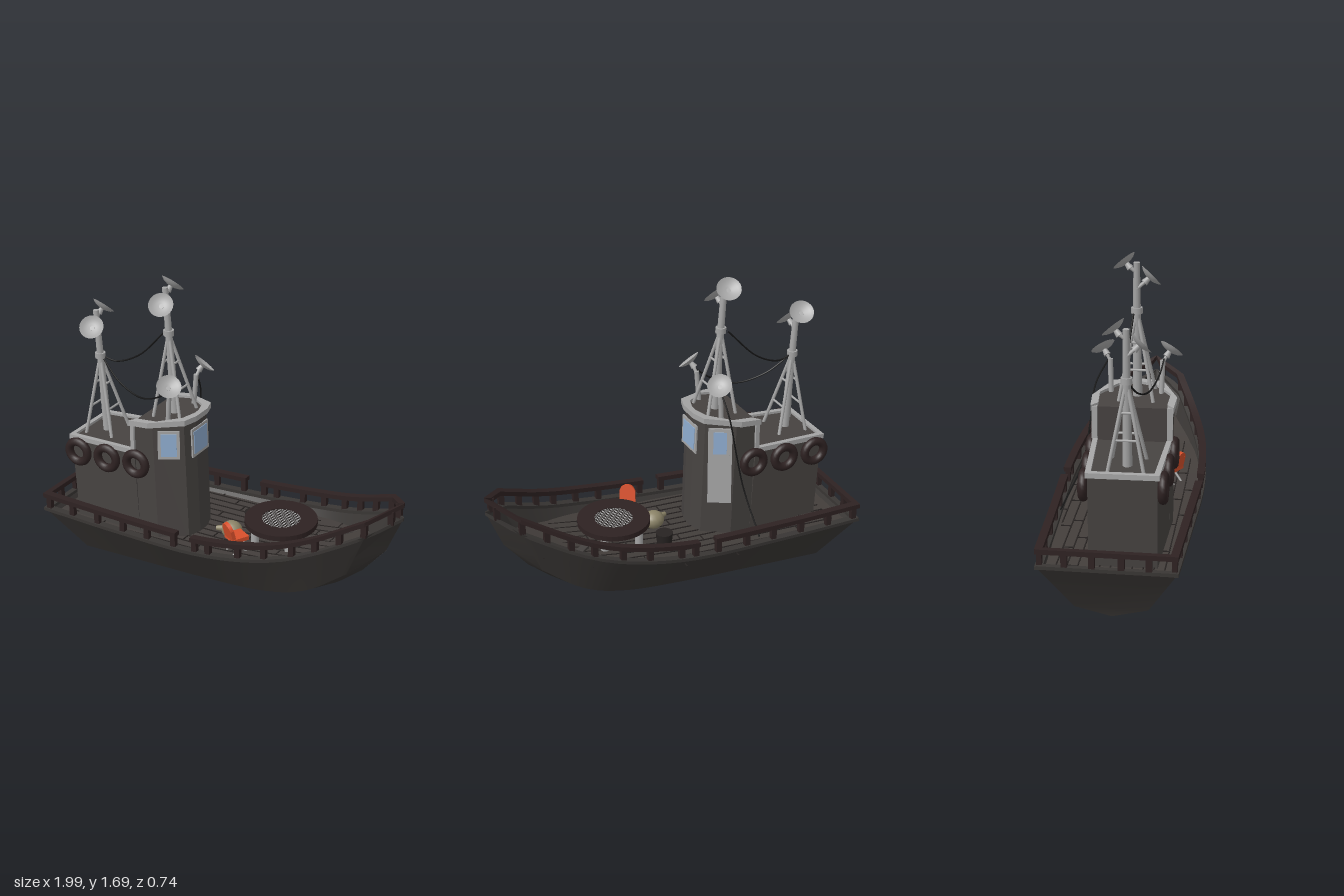
import * as THREE from 'three';
import { toCreasedNormals } from 'three/addons/utils/BufferGeometryUtils.js';

const mat = (name, color, side = THREE.FrontSide) => {
  const m = new THREE.MeshStandardMaterial({ color, side });
  m.name = name;
  return m;
};
const V = (x, y, z) => new THREE.Vector3(x, y, z);

export function createModel() {
  const M = {
    hull: mat('hull charcoal', 0x393634, THREE.DoubleSide),
    cabin: mat('cabin grey', 0x474341),
    deck: mat('deck brown grey', 0x433e3b),
    seam: mat('seam dark', 0x272322),
    rail: mat('rail maroon', 0x2e2222),
    light: mat('light grey', 0xa6a6a6, THREE.DoubleSide),
    glass: mat('window blue', 0x8fadd0),
    orange: mat('orange', 0xd9502b),
    canvas: mat('canvas beige', 0x8c8468),
    black: mat('cable black', 0x161616),
  };
  const model = new THREE.Group();
  const group = (name, parent = model) => {
    const g = new THREE.Group();
    g.name = name;
    parent.add(g);
    return g;
  };
  const add = (parent, name, geo, material, x = 0, y = 0, z = 0) => {
    const m = new THREE.Mesh(geo, material);
    m.name = name;
    m.position.set(x, y, z);
    parent.add(m);
    return m;
  };
  const box = (p, name, m, w, h, d, x, y, z) => add(p, name, new THREE.BoxGeometry(w, h, d), m, x, y, z);
  const rod = (p, name, m, a, b, r, r2 = r) => {
    const d = b.clone().sub(a);
    const o = add(p, name, new THREE.CylinderGeometry(r2, r, d.length(), 10), m);
    o.position.copy(a).addScaledVector(d, 0.5);
    o.quaternion.setFromUnitVectors(V(0, 1, 0), d.normalize());
    return o;
  };
  // Surface through a series of cross-sections
  const loft = (rows) => {
    const n = rows[0].length, idx = [];
    for (let i = 0; i < rows.length - 1; i++) for (let j = 0; j < n - 1; j++) {
      const a = i * n + j, c = a + n;
      idx.push(a, a + 1, c, a + 1, c + 1, c);
    }
    const g = new THREE.BufferGeometry();
    g.setAttribute('position', new THREE.Float32BufferAttribute(rows.flat().flatMap((p) => [p.x, p.y, p.z]), 3));
    g.setIndex(idx);
    return toCreasedNormals(g, 0.45);
  };
  const lerpTable = (t, x) => {
    let i = 1;
    while (i < t.length - 1 && t[i][0] < x) i++;
    const k = THREE.MathUtils.clamp((x - t[i - 1][0]) / (t[i][0] - t[i - 1][0]), 0, 1);
    return t[i].map((v, q) => t[i - 1][q] + (v - t[i - 1][q]) * k);
  };

  // Hull lines (x, y, half width) from stern to stem
  const boat = group('boat');
  boat.rotation.y = -0.02;
  boat.position.z = 0.001;
  const smooth = (pts, tip) => [...new THREE.CatmullRomCurve3(pts.map((p) => V(...p)), false, 'catmullrom').getPoints(30), V(...tip)];
  const sheer = smooth([[-0.99, 0.32, 0.335], [-0.5, 0.335, 0.352], [0, 0.365, 0.367], [0.35, 0.42, 0.34], [0.6, 0.495, 0.275], [0.87, 0.625, 0.165]], [0.995, 0.69, 0]);
  const chine = smooth([[-0.83, 0.05, 0.18], [-0.45, 0.087, 0.2], [0, 0.123, 0.21], [0.33, 0.155, 0.2], [0.55, 0.215, 0.17], [0.75, 0.345, 0.11]], [0.91, 0.48, 0]);
  const keel = smooth([[-0.815, 0, 0], [-0.45, 0.034, 0], [0, 0.076, 0], [0.355, 0.11, 0], [0.6, 0.18, 0], [0.785, 0.325, 0]], [0.915, 0.485, 0]);
  const deckY = (x) => lerpTable([[-0.95, 0.27], [0, 0.315], [0.3, 0.35], [0.6, 0.4], [0.9, 0.48]], x)[1];
  const waist = sheer.map((s, i) => s.clone().lerp(chine[i], THREE.MathUtils.clamp((s.y - deckY(s.x)) / (s.y - chine[i].y), 0, 0.98)));
  const flip = (p) => V(p.x, p.y, -p.z);
  const sections = sheer.map((s, i) => {
    const half = [s, waist[i], chine[i]];
    return [...half, keel[i], ...half.map(flip).reverse()];
  });
  add(boat, 'hullShell', loft(sections), M.hull);
  const t = sections[0];
  add(boat, 'transom', loft([[t[6], t[5], t[4], t[3]], [t[0], t[1], t[2], t[3]]]), M.hull);
  add(boat, 'deck', loft(waist.map((p) => [flip(p), p])), M.deck);

  // Gunwale and handrails follow the sheer line
  const sheerTable = sheer.map((p) => [p.x, p.y, p.z]);
  const strip = (name, m, x0, x1, lift, h, wid, s) => {
    const rows = [];
    for (let i = 0; i <= 24; i++) {
      const [x, y, w] = lerpTable(sheerTable, x0 + (x1 - x0) * i / 24);
      const o = w + 0.004, n = Math.max(0, w - wid), b = y + lift;
      const r = [[o, b + h], [o, b], [n, b], [n, b + h], [o, b + h]].map(([z, yy]) => V(x, yy, s * z));
      rows.push(s > 0 ? r : r.reverse());
    }
    const cap = (r) => r.map(() => r[0].clone().lerp(r[2], 0.5));
    add(boat, name, loft([cap(rows[0]), ...rows, cap(rows[24])]), m);
  };
  for (const s of [1, -1]) {
    strip('gunwale', M.hull, -0.99, 0.995, -0.015, 0.018, 0.035, s);
    strip('aftRail', M.rail, -0.99, -0.11, 0.065, 0.025, 0.035, s);
    strip('foreRail', M.rail, -0.02, 0.995, 0.06, 0.025, 0.035, s);
    for (const px of [-0.96, -0.8, -0.63, -0.46, -0.3, -0.13, 0, 0.08, 0.25, 0.39, 0.53, 0.64, 0.75, 0.86, 0.95]) {
      const [x, y, w] = lerpTable(sheerTable, px);
      box(boat, 'railPost', M.rail, 0.03, 0.075, 0.025, x, y + 0.035, s * Math.max(0.012, w - 0.016));
    }
  }
  box(boat, 'sternRail', M.rail, 0.03, 0.025, 0.675, -0.977, 0.397, 0);
  box(boat, 'sternCap', M.hull, 0.03, 0.018, 0.66, -0.975, 0.315, 0);
  for (const z of [-0.2, -0.07, 0.07, 0.2]) box(boat, 'sternPost', M.rail, 0.025, 0.075, 0.03, -0.977, 0.355, z);

  // Plank seams, with staggered butt joints
  const waistTable = waist.map((p) => [p.x, p.z]);
  for (let k = -6; k <= 6; k++) {
    const z = k * 0.052;
    for (let i = 0; i < 18; i++) {
      const x = -0.9 + i * 0.1, x2 = x + 0.1, xj = x + 0.03 + 0.012 * (k & 3);
      if (Math.min(lerpTable(waistTable, x)[1], lerpTable(waistTable, x2)[1]) < Math.abs(z) + 0.015) continue;
      const seam = box(boat, 'plankSeam', M.seam, 0.102, 0.004, 0.006, x + 0.05, (deckY(x) + deckY(x2)) / 2 + 0.002, z);
      seam.rotation.z = Math.atan2(deckY(x2) - deckY(x), 0.1);
      if ((i + k * 2 + 24) % 3 === 0) box(boat, 'plankJoint', M.seam, 0.006, 0.004, 0.052, xj, deckY(xj) + 0.002, z - 0.026);
    }
  }

  // Cabin and wheelhouse from mirrored half outlines
  const house = group('deckhouse');
  house.position.z = 0.043;
  const outline = (half, grow = 0) => {
    const cx = half.reduce((a, p) => a + p[0], 0) / half.length;
    const h = half.map(([x, w]) => [x + Math.sign(x - cx) * grow, w + grow]);
    return [...h, ...h.map(([x, w]) => [x, -w]).reverse()].map((p) => new THREE.Vector2(...p));
  };
  // Roof slopes up forward from x0; the foot of the walls rakes forward
  const prism = (name, m, points, y0, y1, x0, slope) => {
    const g = new THREE.ExtrudeGeometry(new THREE.Shape(points), { depth: y1 - y0, bevelEnabled: false });
    g.rotateX(-Math.PI / 2).translate(0, y0, 0);
    const p = g.attributes.position;
    for (let i = 0; i < p.count; i++) {
      if (p.getY(i) > 0.7) p.setY(i, p.getY(i) + (p.getX(i) - x0) * slope);
      else p.setX(i, p.getX(i) + 0.025);
    }
    g.computeVertexNormals();
    add(house, name, g, m);
  };
  // Roof trim is a band left open at the first end of the outline
  const band = (half, grow, width) => [...outline(half, grow), ...outline(half, grow - width).reverse()];
  const aft = [[-0.45, 0.185], [-0.865, 0.165]];
  const fore = [[-0.45, 0.185], [-0.33, 0.192], [-0.19, 0.11], [-0.165, 0.035]];
  prism('cabinWalls', M.cabin, outline(aft), 0.25, 0.745, -0.865, 0.06);
  prism('cabinRoofTrim', M.light, band(aft, 0.01, 0.026), 0.732, 0.758, -0.865, 0.06);
  prism('wheelhouseWalls', M.cabin, outline(fore), 0.25, 0.942, -0.45, 0.13);
  prism('wheelhouseRoofTrim', M.light, band(fore, 0.018, 0.034), 0.925, 0.955, -0.45, 0.13);
  for (const s of [1, -1]) box(house, 'wheelhouseCornerTrim', M.light, 0.022, 0.19, 0.028, -0.452, 0.85, s * 0.185);
  const pane = (x, z, turn, w) => {
    const g = group('window', house);
    g.position.set(x + 0.0036, 0.842, z);
    g.rotation.set(-0.036 * Math.sin(turn), turn, 0, 'YXZ');
    box(g, 'windowFrame', M.light, w + 0.032, 0.16, 0.008, 0, 0, 0.004);
    box(g, 'windowGlass', M.glass, w, 0.126, 0.008, 0, 0, 0.007);
    return g;
  };
  const turn = Math.atan2(0.082, 0.14);
  pane(-0.167, 0.005, Math.PI / 2, 0.124);
  pane(-0.26, 0.151, turn, 0.082);
  const doorPane = pane(-0.26, -0.151, Math.PI - turn, 0.07);
  box(doorPane, 'sideDoor', M.light, 0.125, 0.44, 0.006, 0, -0.135, 0.002);

  // Tyre fenders on both cabin sides
  [[-0.81, 0.675], [-0.62, 0.69], [-0.43, 0.71]].forEach(([x, y], i) => {
    for (const s of [1, -1]) add(house, 'tyreFender', new THREE.TorusGeometry(0.058, 0.023, 10, 24), M.rail, x, y, s * (0.188 + i * 0.008));
  });

  // Dish antennas
  const bowl = [[0, 0], [0.025, 0.003], [0.048, 0.011], [0.064, 0.022]].map((p) => new THREE.Vector2(...p));
  const dish = (p, at, from, n) => {
    const g = group('dishAntenna', p);
    g.position.copy(at);
    g.quaternion.setFromUnitVectors(V(0, 1, 0), n.clone().normalize());
    add(g, 'dishBowl', new THREE.LatheGeometry(bowl, 24), M.light, 0, -0.012, 0);
    add(g, 'dishMount', new THREE.CylinderGeometry(0.012, 0.018, 0.03, 10), M.light, 0, -0.025, 0);
    rod(p, 'dishArm', M.light, from, at.clone().addScaledVector(n.clone().normalize(), -0.03), 0.009);
  };
  // Masts, each braced by four legs with rungs
  const mast = (name, bx, by, tx, ty, braceY) => {
    const g = group(name, house);
    rod(g, 'mastPole', M.light, V(bx, by, 0.01), V(tx, ty, 0.01), 0.024, 0.016);
    const hub = V(tx + (bx - tx) * (ty - braceY) / (ty - by), braceY, 0.01);
    add(g, 'mastCollar', new THREE.CylinderGeometry(0.028, 0.028, 0.03, 12), M.light, hub.x, hub.y, hub.z);
    const feet = [[-0.08, -0.075], [-0.08, 0.095], [0.085, 0.095], [0.085, -0.075]].map(([x, z]) => V(bx + x, by, z));
    feet.forEach((f, i) => {
      rod(g, 'mastLeg', M.light, f, hub, 0.009);
      for (const k of [0.35, 0.65]) if (i % 2 === 0) rod(g, 'mastRung', M.light, f.clone().lerp(hub, k), feet[i + 1].clone().lerp(hub, k), 0.006);
    });
    dish(g, V(tx + 0.015, ty - 0.073, 0.073), V(tx, ty - 0.13, 0.01), V(0.28, 0.66, 0.66));
    dish(g, V(tx + 0.005, ty, -0.045), V(tx, ty - 0.05, 0.01), V(0.22, 0.72, -0.62));
  };
  mast('mainMast', -0.305, 0.95, -0.352, 1.64, 1.4);
  mast('aftMast', -0.74, 0.745, -0.785, 1.43, 1.18);
  for (const s of [1, -1]) {
    rod(house, 'antennaPole', M.light, V(-0.275, 0.96, s * 0.125), V(-0.262, 1.13, s * 0.13), 0.013);
    dish(house, V(-0.24, 1.178, s * 0.166), V(-0.262, 1.12, s * 0.13), V(0.42, 0.72, s * 0.48));
  }

  // Slack cables
  const cable = (...pts) => add(model, 'cable', new THREE.TubeGeometry(new THREE.CatmullRomCurve3(pts.map((p) => V(...p))), 28, 0.0045, 6), M.black);
  cable([-0.765, 1.18, 0.05], [-0.68, 1.16, 0.04], [-0.54, 1.22, 0.03], [-0.37, 1.39, 0.04]);
  cable([-0.765, 1.18, 0.05], [-0.63, 1.075, 0.09], [-0.47, 1.035, 0.13], [-0.34, 1.08, 0.165], [-0.26, 1.14, 0.18]);
  cable([-0.26, 1.14, -0.09], [-0.28, 1, -0.16], [-0.31, 0.8, -0.185], [-0.34, 0.6, -0.22], [-0.38, 0.36, -0.33]);

  // Round table with a grating in the middle
  const table = group('roundTable');
  table.position.set(0.305, 0.012, 0.005);
  const ring = new THREE.Shape().absarc(0, 0, 0.19, 0, Math.PI * 2);
  ring.holes.push(new THREE.Path().absarc(0, 0, 0.1, 0, Math.PI * 2, true));
  const ringGeo = new THREE.ExtrudeGeometry(ring, { depth: 0.028, bevelEnabled: false, curveSegments: 20 }).rotateX(-Math.PI / 2);
  add(table, 'tableRing', ringGeo, M.rail, 0, 0.442, 0);
  add(table, 'tableGrate', new THREE.CylinderGeometry(0.101, 0.101, 0.012, 32), M.light, 0, 0.46, 0);
  for (let i = -6; i <= 6; i++) {
    const len = 2 * Math.sqrt(0.0098 - (i * 0.015) ** 2);
    box(table, 'grateBar', M.seam, len, 0.001, 0.004, 0, 0.4665, i * 0.015);
    box(table, 'grateBar', M.seam, 0.004, 0.001, len, i * 0.015, 0.4665, 0);
  }
  for (let i = 0; i < 4; i++) {
    const a = Math.PI / 4 + i * Math.PI / 2;
    rod(table, 'tableLeg', M.light, V(0.14 * Math.cos(a), 0.32, 0.14 * Math.sin(a)), V(0.14 * Math.cos(a), 0.445, 0.14 * Math.sin(a)), 0.021);
  }

  // Loose gear on deck: folding seat, sack, bucket and a spare plank
  const seat = group('foldingSeat');
  seat.position.set(0.145, 0.33, 0.185);
  seat.rotation.y = -0.5;
  box(seat, 'seatPad', M.orange, 0.09, 0.022, 0.095, 0, 0.085, 0);
  box(seat, 'seatBack', M.orange, 0.085, 0.06, 0.02, 0, 0.118, 0.045).rotation.x = 0.25;
  const backTop = add(seat, 'seatBackTop', new THREE.CylinderGeometry(0.0425, 0.0425, 0.02, 20, 1, false, 0, Math.PI * 2), M.orange, 0, 0.138, 0.05);
  backTop.rotation.x = Math.PI / 2 + 0.25;
  for (const x of [-0.035, 0.035]) for (const s of [1, -1])
    rod(seat, 'seatLeg', M.light, V(x, 0, s * 0.04), V(x, 0.085, -s * 0.035), 0.006);
  add(model, 'sack', new THREE.SphereGeometry(0.058, 16, 10), M.canvas, 0.045, 0.365, 0.065).scale.set(1, 0.85, 0.9);
  rod(model, 'sackNeck', M.canvas, V(0.03, 0.37, 0.065), V(-0.035, 0.365, 0.09), 0.022, 0.012);
  add(model, 'bucket', new THREE.CylinderGeometry(0.046, 0.038, 0.07, 18), M.seam, 0.07, 0.357, -0.115);
  const spare = box(model, 'sparePlank', M.cabin, 0.2, 0.015, 0.04, 0.57, 0.405, -0.12);
  spare.rotation.set(0, 0.7, 0.1);
  return model;
}
